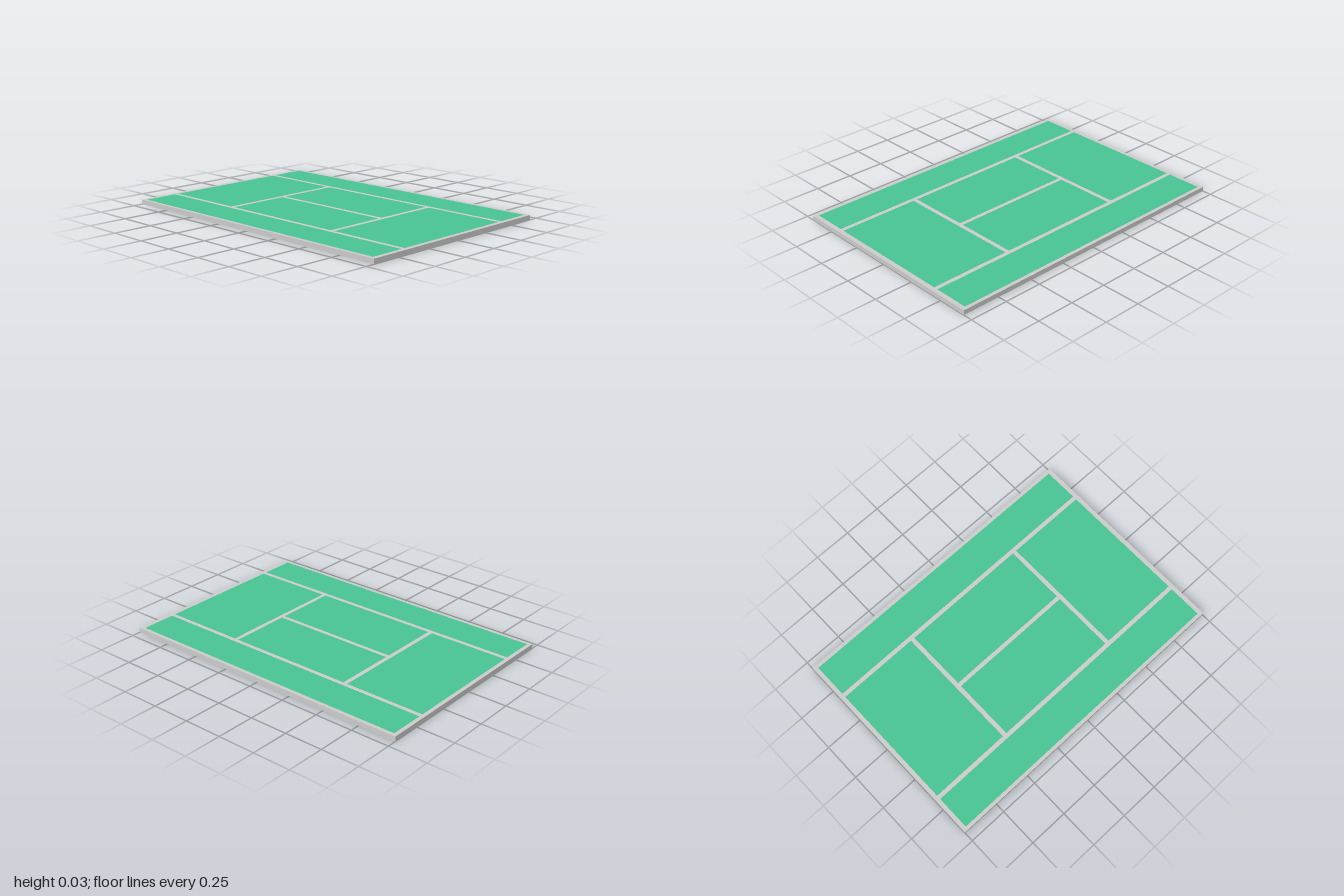
import * as THREE from 'three';

const HEIGHT = 0.03, HALF_W = 0.69, HALF_L = 1;

// Green playing areas as [x0, x1, z0, z1]; the gaps between them are the court lines
const AREAS = {
  leftAlley: [0.44, 0.667, -0.975, 0.972],
  rightAlley: [-0.668, -0.445, -0.975, 0.972],
  backCourtRear: [-0.418, 0.413, -0.975, -0.446],
  backCourtFront: [-0.418, 0.413, 0.442, 0.972],
  leftServiceBox: [0.012, 0.413, -0.418, 0.415],
  rightServiceBox: [-0.418, -0.014, -0.418, 0.415],
};

// Rectangle outline in the ground plane (shape y becomes -z once laid flat)
function rectangle(PathType, [x0, x1, z0, z1]) {
  return new PathType([[x0, -z1], [x1, -z1], [x1, -z0], [x0, -z0]].map(([x, y]) => new THREE.Vector2(x, y)));
}

export function createModel() {
  const court = new THREE.Group();
  court.name = 'tennisCourt';
  const lineMaterial = new THREE.MeshStandardMaterial({ color: 0xcccccc });
  const greenMaterial = new THREE.MeshStandardMaterial({ color: 0x48c392 });

  // Border and painted lines: one slab with an opening for each playing area
  const outline = rectangle(THREE.Shape, [-HALF_W, HALF_W, -HALF_L, HALF_L]);
  outline.holes = Object.values(AREAS).map((area) => rectangle(THREE.Path, area));
  const lineGeometry = new THREE.ExtrudeGeometry(outline, { depth: HEIGHT, bevelEnabled: false });
  lineGeometry.rotateX(-Math.PI / 2);
  const lines = new THREE.Mesh(lineGeometry, lineMaterial);
  lines.name = 'courtLines';
  court.add(lines);

  // Green slabs set flush into the openings
  for (const [name, [x0, x1, z0, z1]] of Object.entries(AREAS)) {
    const slab = new THREE.Mesh(new THREE.BoxGeometry(x1 - x0, HEIGHT, z1 - z0), greenMaterial);
    slab.position.set((x0 + x1) / 2, HEIGHT / 2, (z0 + z1) / 2);
    slab.name = name;
    court.add(slab);
  }
  return court;
}
